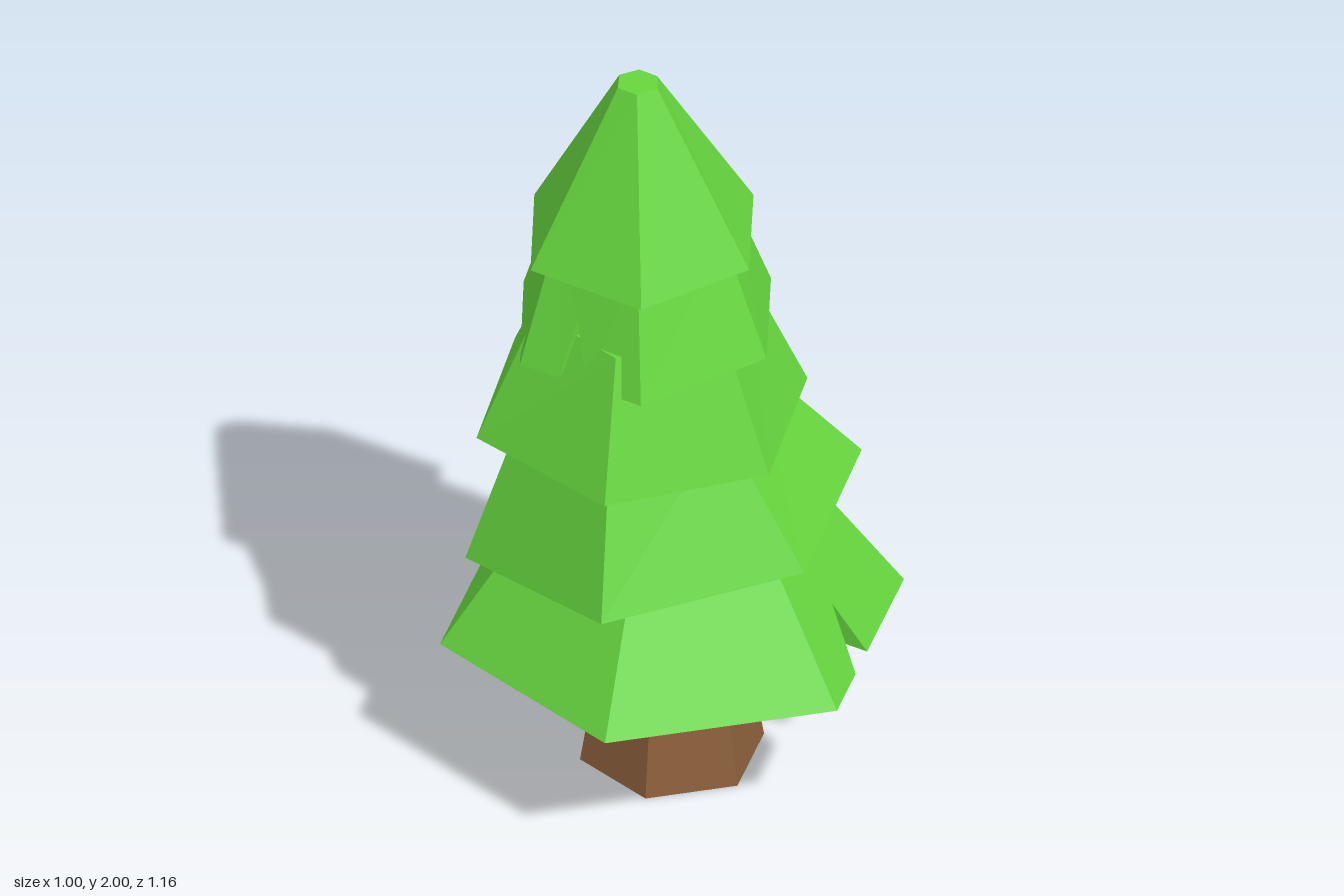
import * as THREE from 'three';

const green = new THREE.MeshStandardMaterial({ color: 0x66d63e, flatShading: true });
const brown = new THREE.MeshStandardMaterial({ color: 0x8a5f3b, flatShading: true });

const P = (x, y, z) => new THREE.Vector3(x, y, z);
const mix = (a, b, t) => a.clone().lerp(b, t);

// Hexagon with a corner on +z, running towards +x
function hexagon(cx, y, cz, r) {
  return Array.from({ length: 6 }, (_, i) => {
    const a = (i * Math.PI) / 3;
    return P(cx + r * Math.sin(a), y, cz + r * Math.cos(a));
  });
}

// One skirt of branches between a bottom and a top hexagon.
// inner: lower and upper loops of a hollow core; without it the underside is closed.
// notch: a bite out of one side, placed by fractions along and up that side.
function tier(name, bottom, top, { inner, notch } = {}) {
  const verts = [];
  const tri = (...pts) => pts.forEach((p) => verts.push(p.x, p.y, p.z));
  const centre = (loop) => loop.reduce((s, p) => s.add(p), P(0, 0, 0)).divideScalar(6);
  const under = centre(bottom);
  const over = centre(top);

  for (let i = 0; i < 6; i++) {
    const j = (i + 1) % 6;
    const v0 = bottom[i], v1 = bottom[j], t0 = top[i], t1 = top[j];
    const w0 = inner ? inner[0][i] : under;
    const w1 = inner ? inner[0][j] : under;
    tri(t0, t1, over);

    if (notch && notch.side === i) {
      const a = mix(v0, v1, notch.from);
      const b = mix(v0, v1, notch.to);
      const apex = mix(mix(v0, v1, notch.tip), mix(t0, t1, notch.tip), notch.height);
      const back = inner ? mix(w0, w1, notch.tip) : mix(mix(v0, v1, notch.tip), under, 0.4);
      back.y += 0.05;
      // Outer face around the bite
      tri(v0, a, t0); tri(a, apex, t0); tri(apex, t1, t0);
      tri(apex, b, t1); tri(b, v1, t1);
      // Walls of the bite
      tri(a, back, apex); tri(b, apex, back);
      // Underside on both sides of it
      tri(a, v0, w0); tri(a, w0, back);
      tri(v1, b, back); tri(v1, back, w1);
      if (inner) {
        const u0 = inner[1][i], u1 = inner[1][j];
        tri(back, w0, u0); tri(back, u0, u1); tri(w1, back, u1);
      }
      continue;
    }

    tri(v0, v1, t1); tri(v0, t1, t0);
    tri(v1, v0, w0);
    if (inner) {
      const u0 = inner[1][i], u1 = inner[1][j];
      tri(v1, w0, w1);
      tri(w1, w0, u0); tri(w1, u0, u1);
    }
  }

  const geo = new THREE.BufferGeometry();
  geo.setAttribute('position', new THREE.Float32BufferAttribute(verts, 3));
  geo.computeVertexNormals();
  const mesh = new THREE.Mesh(geo, green);
  mesh.name = name;
  return mesh;
}

export function createModel() {
  const tree = new THREE.Group();
  tree.name = 'pineTree';

  // Tapered trunk, reaching up into the foliage
  const trunk = new THREE.Mesh(new THREE.CylinderGeometry(0.115, 0.23, 0.7, 6), brown);
  trunk.position.y = 0.35;
  trunk.name = 'trunk';
  tree.add(trunk);

  // Lowest branches: hollow ring with a notch on the left side
  tree.add(tier('lowestBranches', hexagon(0, 0.4, 0, 0.58), hexagon(0, 0.85, 0, 0.27), {
    inner: [hexagon(0, 0.4, 0, 0.32), hexagon(0, 0.75, 0, 0.3)],
    notch: { side: 1, from: 0.28, to: 0.45, tip: 0.4, height: 0.31 },
  }));

  // Second branches: drooping towards the back right
  tree.add(tier('lowerBranches', [
    P(-0.03, 0.7, 0.51), P(0.41, 0.77, 0.26), P(0.41, 0.8, -0.24),
    P(-0.02, 0.75, -0.49), P(-0.43, 0.6, -0.26), P(-0.45, 0.64, 0.25),
  ], hexagon(-0.06, 1.12, 0.05, 0.28)));

  // Third branches
  tree.add(tier('middleBranches', [
    P(-0.03, 1.03, 0.48), P(0.315, 1.03, 0.24), P(0.29, 1.03, -0.18),
    P(-0.085, 1.04, -0.36), P(-0.435, 1.04, -0.13), P(-0.41, 1.03, 0.29),
  ], [
    P(-0.04, 1.38, 0.35), P(0.19, 1.38, 0.19), P(0.17, 1.38, -0.08),
    P(-0.08, 1.38, -0.2), P(-0.29, 1.38, -0.05), P(-0.28, 1.38, 0.22),
  ]));

  // Fourth branches, notched at the front
  tree.add(tier('upperBranches', [
    P(0.035, 1.28, 0.39), P(0.28, 1.3, 0.14), P(0.195, 1.3, -0.19),
    P(-0.14, 1.29, -0.285), P(-0.39, 1.27, -0.05), P(-0.3, 1.27, 0.29),
  ], [
    P(-0.005, 1.62, 0.28), P(0.16, 1.62, 0.11), P(0.11, 1.62, -0.1),
    P(-0.11, 1.62, -0.18), P(-0.28, 1.62, -0.02), P(-0.23, 1.62, 0.2),
  ], { notch: { side: 5, from: 0.32, to: 0.55, tip: 0.4, height: 0.44 } }));

  // Crown with a small flat tip
  tree.add(tier('crown', [
    P(0.02, 1.525, 0.335), P(0.23, 1.54, 0.12), P(0.155, 1.55, -0.175),
    P(-0.14, 1.555, -0.25), P(-0.36, 1.54, -0.04), P(-0.285, 1.525, 0.25),
  ], [
    P(-0.055, 2, 0.115), P(-0.015, 2, 0.075), P(-0.03, 2, 0.025),
    P(-0.08, 2, 0.01), P(-0.12, 2, 0.045), P(-0.108, 2, 0.1),
  ]));

  return tree;
}
